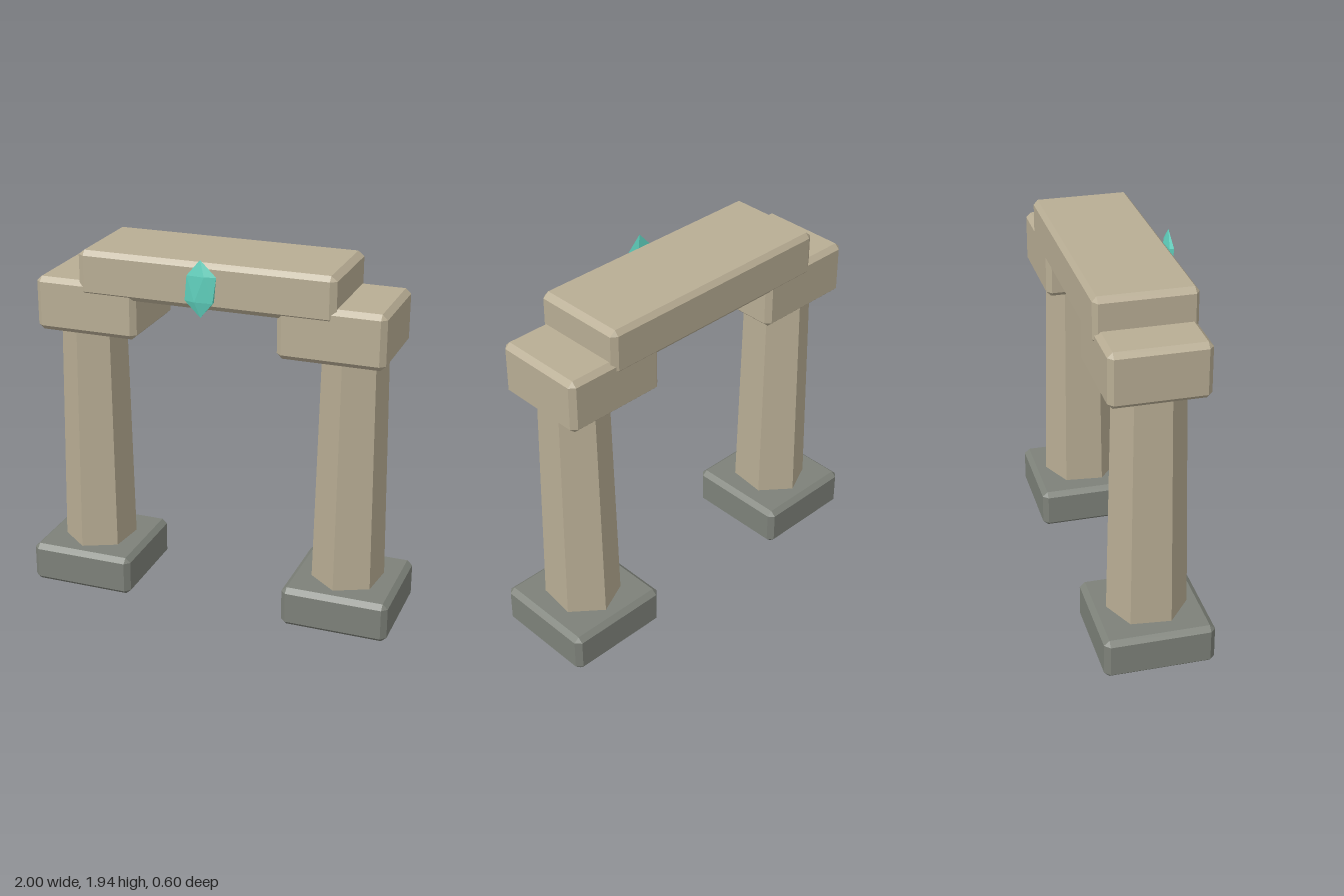
import * as THREE from 'three';
import { ConvexGeometry } from 'three/addons/geometries/ConvexGeometry.js';

const stone = new THREE.MeshStandardMaterial({ color: 0xb8ad94 });
stone.name = 'sandstone';
const slate = new THREE.MeshStandardMaterial({ color: 0x7d8179 });
slate.name = 'grey base stone';
const teal = new THREE.MeshStandardMaterial({ color: 0x5fd0bd });
teal.name = 'teal crystal';

// Box with chamfered edges and corners; bevel is given per axis
function chamferBox(w, h, d, [bx, by, bz]) {
  const points = [];
  for (const sx of [-1, 1]) for (const sy of [-1, 1]) for (const sz of [-1, 1]) {
    const x = w / 2, y = h / 2, z = d / 2;
    points.push(
      new THREE.Vector3(sx * x, sy * (y - by), sz * (z - bz)),
      new THREE.Vector3(sx * (x - bx), sy * y, sz * (z - bz)),
      new THREE.Vector3(sx * (x - bx), sy * (y - by), sz * z),
    );
  }
  return new ConvexGeometry(points);
}

// Two staggered five-sided rings between two tips, flattened in z
function crystalGeometry() {
  const points = [new THREE.Vector3(0, 0.147, 0), new THREE.Vector3(0, -0.147, 0)];
  for (let i = 0; i < 10; i++) {
    const a = (i * Math.PI) / 5;
    points.push(new THREE.Vector3(0.083 * Math.cos(a), i % 2 ? -0.066 : 0.066, 0.019 * Math.sin(a)));
  }
  return new ConvexGeometry(points);
}

export function createModel() {
  const group = new THREE.Group();
  const add = (name, geometry, material, x, y, z) => {
    const mesh = new THREE.Mesh(geometry, material);
    mesh.name = name;
    mesh.position.set(x, y, z);
    group.add(mesh);
  };

  const base = chamferBox(0.57, 0.215, 0.57, [0.028, 0.025, 0.028]);
  const cap = chamferBox(0.552, 0.285, 0.5, [0.028, 0.026, 0.026]);

  // Tapered six-sided shaft, slightly turned; flat facets
  const shaft = new THREE.CylinderGeometry(0.182, 0.208, 1.29, 6, 1, false, -0.12)
    .scale(0.92, 1, 1).toNonIndexed();
  shaft.computeVertexNormals();

  for (const [side, s] of [['left', 1], ['right', -1]]) {
    add(side + 'Base', base, slate, s * 0.715, 0.1075, -0.015);
    add(side + 'Column', shaft, stone, s * 0.715, 0.835, -0.013);
    add(side + 'Cap', cap, stone, s * 0.65, 1.6025, -0.013);
  }

  // Beam across the caps
  add('lintel', chamferBox(1.355, 0.24, 0.513, [0.032, 0.026, 0.022]), stone, -0.002, 1.79, -0.014);

  // Crystal hovering in front of the beam
  add('crystal', crystalGeometry(), teal, 0, 1.792, 0.281);

  return group;
}
